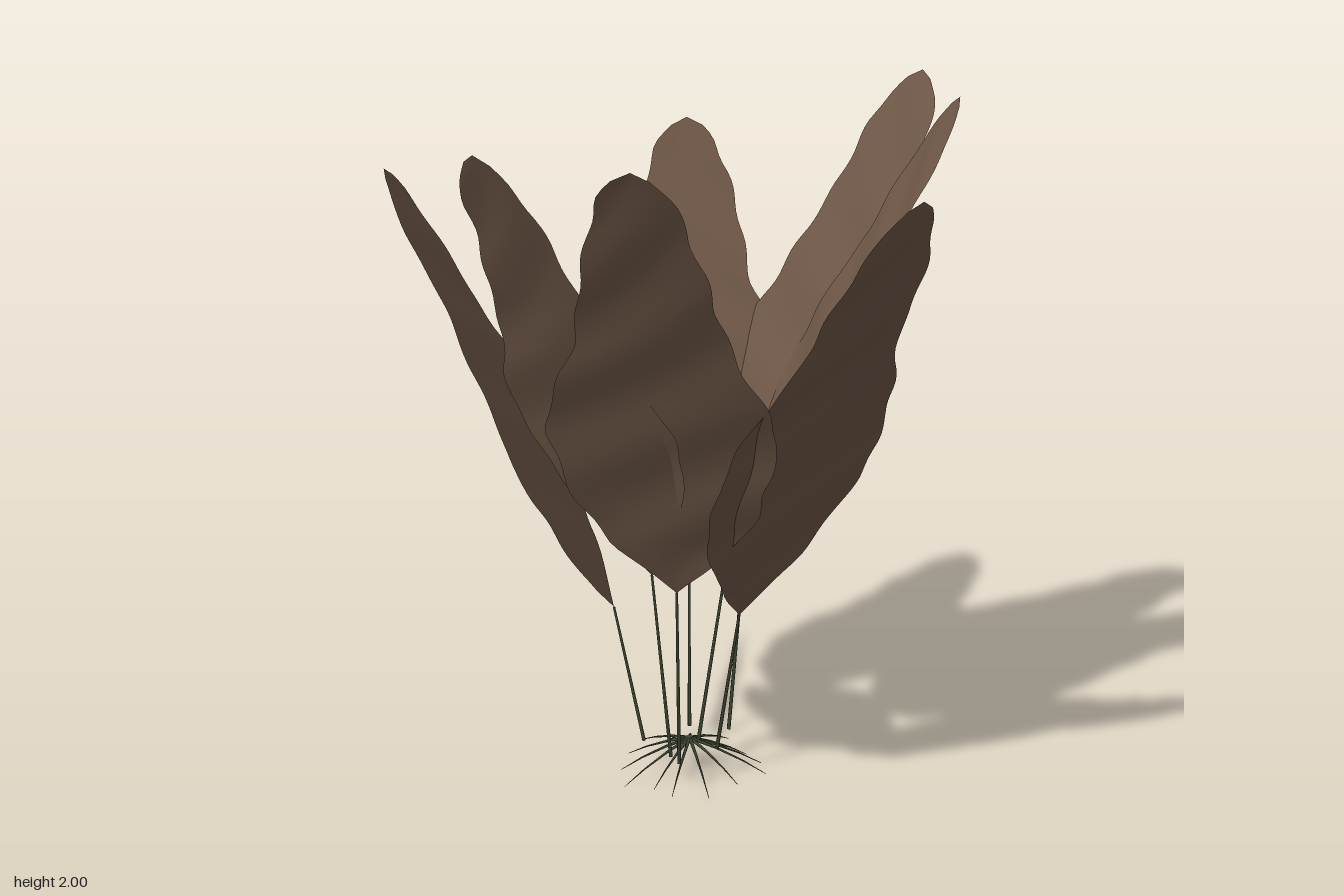
import * as THREE from 'three';

const leafMaterial = new THREE.MeshStandardMaterial({ color: 0x6e5747, side: THREE.DoubleSide });
const stemMaterial = new THREE.MeshStandardMaterial({ color: 0x3c4430 });
const V = (x, y, z) => new THREE.Vector3(x, y, z);

// Each leaf: foot of its stem (x, z), base of the blade and tip of the blade
const LEAVES = [
  { foot: [0.055, -0.125], base: [0.06, 0.54, -0.205], tip: [0.11, 1.82, -0.84] },
  { foot: [0.17, -0.09], base: [0.225, 0.71, -0.14], tip: [0.78, 2.0, -0.49] },
  { foot: [0.07, -0.01], base: [0.16, 0.7, -0.01], tip: [0.79, 1.98, -0.015] },
  { foot: [0.12, 0.045], base: [0.17, 0.54, 0.15], tip: [0.56, 1.81, 0.66] },
  { foot: [0.0, 0.14], base: [-0.015, 0.64, 0.225], tip: [-0.18, 1.92, 0.835] },
  { foot: [-0.02, 0.09], base: [-0.075, 0.65, 0.1], tip: [-0.55, 1.92, 0.53] },
  { foot: [-0.09, -0.03], base: [-0.175, 0.5, -0.05], tip: [-0.8, 1.78, -0.16] },
];

// Half width of a blade along its length: broad belly, narrow rounded tip
const PROFILE = [
  [0, 0], [0.06, 0.085], [0.12, 0.165], [0.22, 0.245], [0.31, 0.29], [0.4, 0.308], [0.47, 0.285],
  [0.54, 0.25], [0.62, 0.205], [0.7, 0.173], [0.78, 0.155], [0.87, 0.13], [0.94, 0.095], [0.98, 0.052], [1, 0],
];
function halfWidth(t) {
  let i = 1;
  while (i < PROFILE.length - 1 && PROFILE[i][0] < t) i++;
  const [t0, w0] = PROFILE[i - 1], [t1, w1] = PROFILE[i];
  return w0 + (w1 - w0) * (t - t0) / (t1 - t0);
}

// Thin blade with rippled margins and a faintly wavy surface
function makeBlade({ base, tip }, seed) {
  const a = V(...base), axis = V(...tip).sub(a);
  const side = V(-axis.z, 0, axis.x).normalize();
  const normal = axis.clone().cross(side).normalize();
  if (normal.y < 0) normal.negate();
  const rows = 56, cols = 12, pos = [], index = [];
  for (let i = 0; i <= rows; i++) {
    const t = i / rows;
    for (let j = 0; j <= cols; j++) {
      const s = j / cols * 2 - 1;
      const ripple = 0.007 * Math.sin(t * 44 + seed * 2 + s * 2) + 0.005 * Math.sin(t * 23 + seed + s * 3);
      const w = halfWidth(t);
      const across = s * (w + ripple * Math.min(1, w * 8));
      const lift = 0.018 * Math.sin(Math.PI * t)
        + 0.004 * Math.sin(t * 26 + s * 3 + seed) * Math.min(1, w * 5);
      const p = a.clone().addScaledVector(axis, t).addScaledVector(side, across).addScaledVector(normal, lift);
      pos.push(p.x, p.y, p.z);
      if (i < rows && j < cols) {
        const k = i * (cols + 1) + j, n = k + cols + 1;
        index.push(k, k + 1, n, k + 1, n + 1, n);
      }
    }
  }
  const geometry = new THREE.BufferGeometry();
  geometry.setAttribute('position', new THREE.Float32BufferAttribute(pos, 3));
  geometry.setIndex(index);
  geometry.computeVertexNormals();
  return new THREE.Mesh(geometry, leafMaterial);
}

// Straight tapering rod between two points
function makeRod(from, to, r0, r1) {
  const dir = to.clone().sub(from);
  const mesh = new THREE.Mesh(new THREE.CylinderGeometry(r1, r0, dir.length(), 6), stemMaterial);
  mesh.position.copy(from).add(to).multiplyScalar(0.5);
  mesh.quaternion.setFromUnitVectors(V(0, 1, 0), dir.normalize());
  return mesh;
}

export function createModel() {
  const model = new THREE.Group();

  // Leaves on slender stems
  LEAVES.forEach((leaf, i) => {
    const group = new THREE.Group();
    group.name = 'leaf' + (i + 1);
    const blade = makeBlade(leaf, i * 1.7);
    blade.name = 'blade';
    const stem = makeRod(V(leaf.foot[0], 0.082, leaf.foot[1]), V(...leaf.base), 0.006, 0.004);
    stem.name = 'stem';
    group.add(blade, stem);
    model.add(group);
  });

  // Roots arching from the crown down to the ground
  const roots = new THREE.Group();
  roots.name = 'roots';
  const count = 14;
  for (let i = 0; i < count; i++) {
    const angle = (i + 0.25 * Math.sin(i * 5)) / count * Math.PI * 2;
    const reach = 0.215 + 0.025 * Math.sin(i * 2.3);
    const at = (f, y) => V(0.045 + Math.cos(angle) * reach * f, y, -0.015 + Math.sin(angle) * reach * f);
    const points = [at(0, 0.092), at(0.35, 0.068), at(0.7, 0.036), at(1, 0.001)];
    for (let k = 0; k < 3; k++) {
      const root = makeRod(points[k], points[k + 1], 0.0055 - k * 0.0016, 0.0039 - k * 0.0016);
      root.name = 'root';
      roots.add(root);
    }
  }
  model.add(roots);

  // Small crown where the roots meet
  const crown = new THREE.Mesh(new THREE.SphereGeometry(0.011, 8, 6), stemMaterial);
  crown.name = 'crown';
  crown.position.set(0.045, 0.09, -0.015);
  model.add(crown);
  return model;
}
